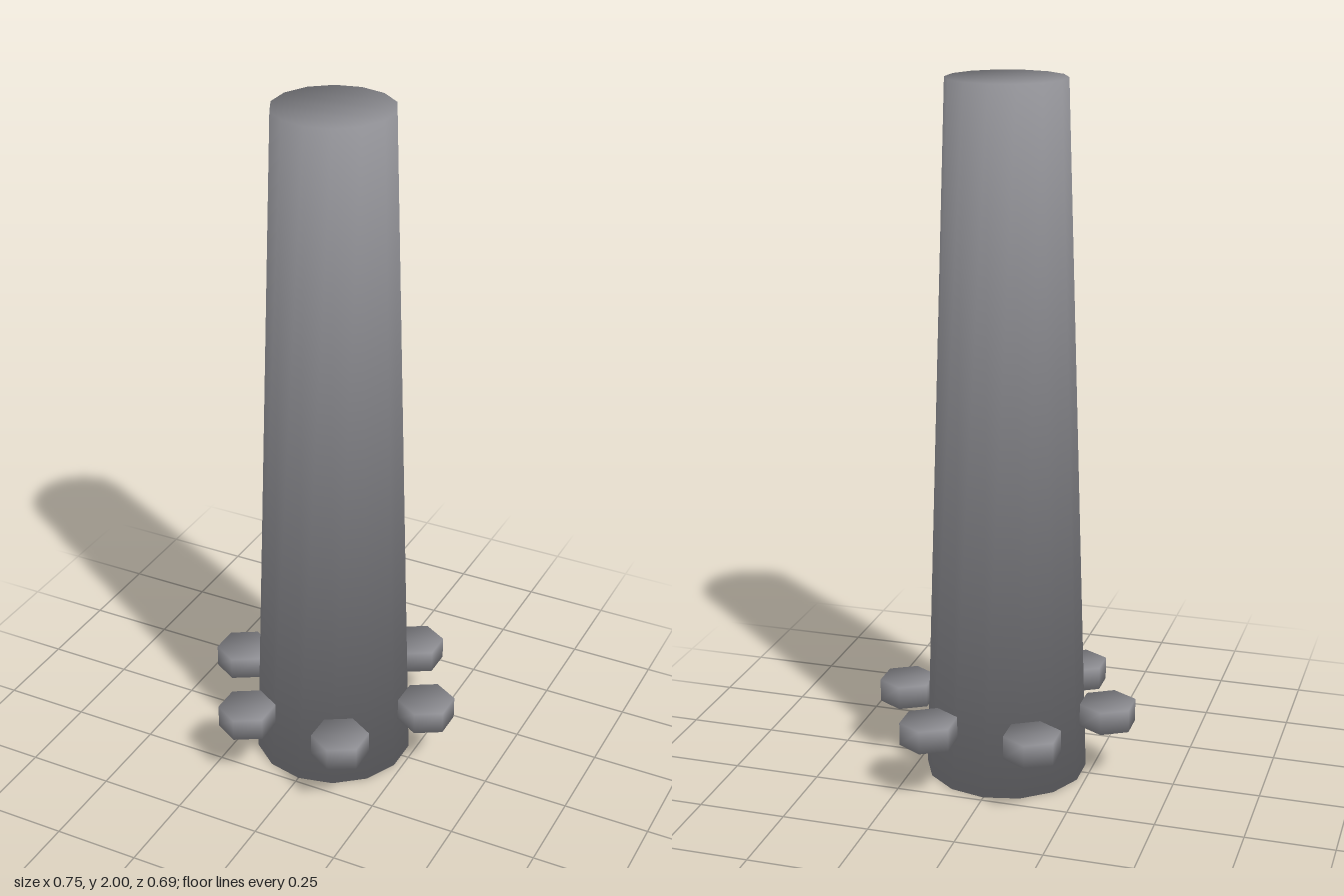
import * as THREE from 'three';

// Prism with one shared, rounded-looking normal per corner and flat end caps
function softPrism(top, bottom, height, sides) {
  const position = [], normal = [], index = [];

  // Corner normals weigh the adjoining cap and side faces by their angles
  const up = Math.PI - (2 * Math.PI) / sides;
  const out = Math.PI * Math.cos(Math.PI / sides);
  const length = Math.hypot(up, out);
  for (const [radius, sign] of [[bottom, -1], [top, 1]]) {
    for (let i = 0; i < sides; i++) {
      const angle = (i / sides) * Math.PI * 2;
      const x = Math.sin(angle), z = Math.cos(angle);
      position.push(radius * x, (sign * height) / 2, radius * z);
      normal.push((x * out) / length, (sign * up) / length, (z * out) / length);
    }
  }

  // Side faces
  for (let i = 0; i < sides; i++) {
    const j = (i + 1) % sides;
    index.push(i, j, sides + j, sides + j, sides + i, i);
  }

  // Caps as strips running from the front corner to the back one
  const strip = [0];
  for (let i = 1; i < sides / 2; i++) strip.push(i, sides - i);
  strip.push(sides / 2);
  for (let i = 0; i < sides - 2; i++) {
    const [a, b, c] = strip.slice(i, i + 3).sort((p, q) => p - q);
    index.push(a, c, b, sides + a, sides + b, sides + c);
  }

  const g = new THREE.BufferGeometry();
  g.setAttribute('position', new THREE.Float32BufferAttribute(position, 3));
  g.setAttribute('normal', new THREE.Float32BufferAttribute(normal, 3));
  g.setIndex(index);
  return g;
}

export function createModel() {
  const group = new THREE.Group();
  const material = new THREE.MeshStandardMaterial({ color: 0x8e8e93 });

  // Tapered fourteen-sided column
  const column = new THREE.Mesh(softPrism(0.1665, 0.233, 2, 14), material);
  column.name = 'column';
  column.position.y = 1;
  group.add(column);

  // Ring of six hexagonal studs around the base, all facing the same way
  const studs = new THREE.Group();
  studs.name = 'baseStuds';
  const studGeometry = softPrism(0.083, 0.083, 0.067, 6);
  for (let i = 0; i < 6; i++) {
    const angle = (i * Math.PI) / 3;
    const stud = new THREE.Mesh(studGeometry, material);
    stud.name = `stud${i + 1}`;
    stud.position.set(0.303 * Math.cos(angle), 0.2, 0.303 * Math.sin(angle));
    studs.add(stud);
  }
  group.add(studs);

  return group;
}
